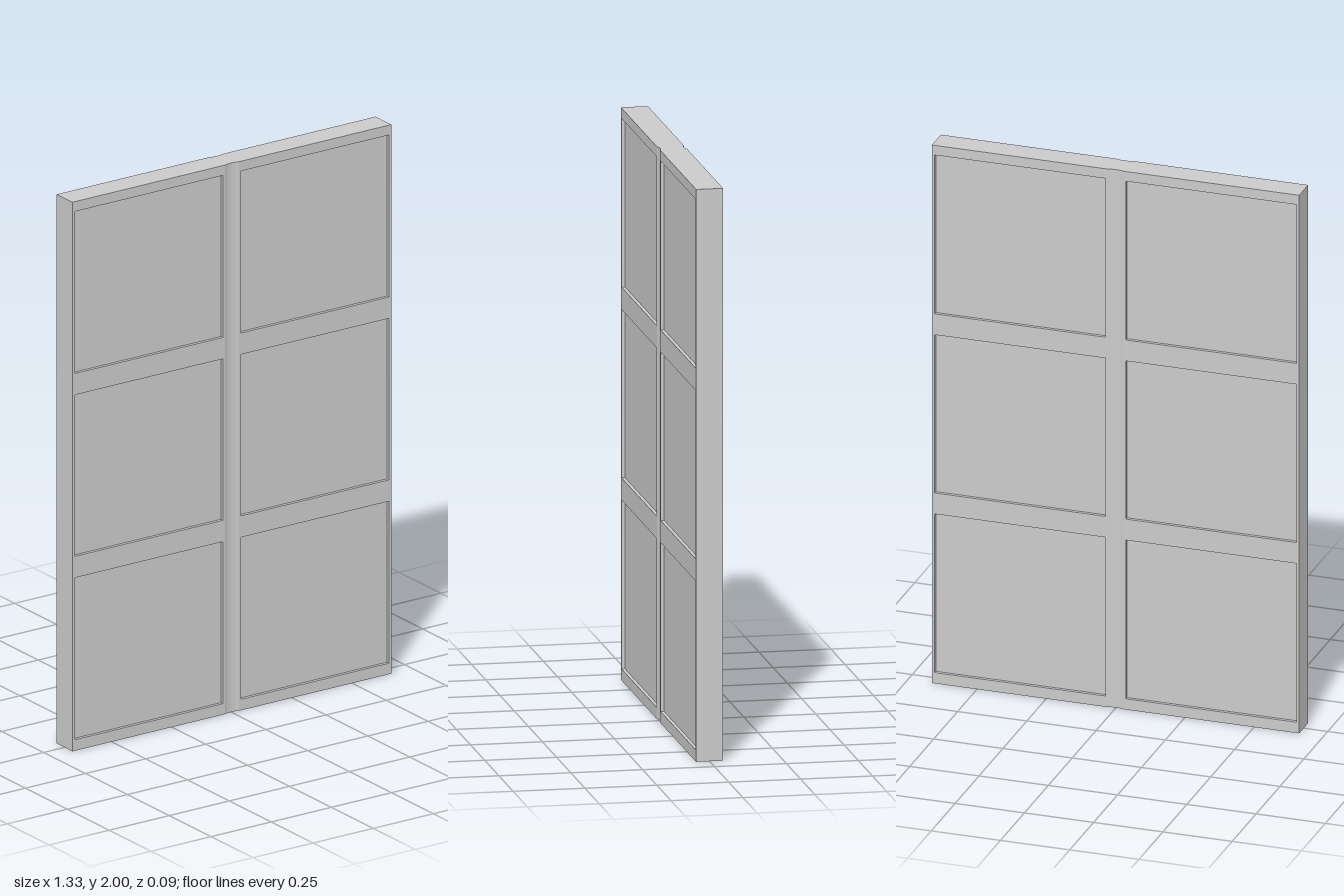
import * as THREE from 'three';

const HALF_W = 0.663, HEIGHT = 2, HALF_D = 0.047;
const POST = 0.028;              // half width of the grooved centre post
const PANEL_X = [0.037, 0.653];  // panel opening, mirrored for the other side
const PANEL_ROWS = [[0.04, 0.63], [0.708, 1.296], [1.374, 1.964]];
const PANEL_HALF_D = 0.035;

const material = new THREE.MeshStandardMaterial({ color: 0xcccccc, flatShading: true });

function rectangle(Type, x0, x1, y0, y1) {
  return new Type([[x0, y0], [x1, y0], [x1, y1], [x0, y1]].map(([x, y]) => new THREE.Vector2(x, y)));
}

function add(group, name, geometry, x = 0, y = 0, z = 0) {
  const mesh = new THREE.Mesh(geometry, material);
  mesh.name = name;
  mesh.position.set(x, y, z);
  group.add(mesh);
  return mesh;
}

// One leaf: a frame with three openings, each closed by a recessed panel
function createLeaf(side) {
  const leaf = new THREE.Group();
  leaf.name = side > 0 ? 'leftLeaf' : 'rightLeaf';
  const span = (a, b) => (side > 0 ? [a, b] : [-b, -a]);

  const shape = rectangle(THREE.Shape, ...span(POST, HALF_W), 0, HEIGHT);
  for (const [y0, y1] of PANEL_ROWS) {
    shape.holes.push(rectangle(THREE.Path, ...span(...PANEL_X), y0, y1));
  }
  const frame = new THREE.ExtrudeGeometry(shape, { depth: 2 * HALF_D, bevelEnabled: false });
  add(leaf, 'frame', frame, 0, 0, -HALF_D);

  const [x0, x1] = PANEL_X;
  PANEL_ROWS.forEach(([y0, y1], i) => {
    const panel = new THREE.BoxGeometry(x1 - x0, y1 - y0, 2 * PANEL_HALF_D);
    add(leaf, `panel${i + 1}`, panel, side * (x0 + x1) / 2, (y0 + y1) / 2, 0);
  });
  return leaf;
}

// Centre post with a shallow groove on both faces
function createPost() {
  const half = [[POST, HALF_D], [0.018, 0.0435], [0.006, 0.042]];
  const front = [...half, ...half.map(([x, z]) => [-x, z]).reverse()];
  const outline = [...front, ...front.map(([x, z]) => [-x, -z])];
  const shape = new THREE.Shape(outline.map(([x, z]) => new THREE.Vector2(x, z)));
  const post = new THREE.ExtrudeGeometry(shape, { depth: HEIGHT, bevelEnabled: false });
  return post.rotateX(-Math.PI / 2);
}

export function createModel() {
  const model = new THREE.Group();
  model.name = 'panelledDoor';
  for (const side of [1, -1]) model.add(createLeaf(side));
  add(model, 'centrePost', createPost());
  return model;
}
